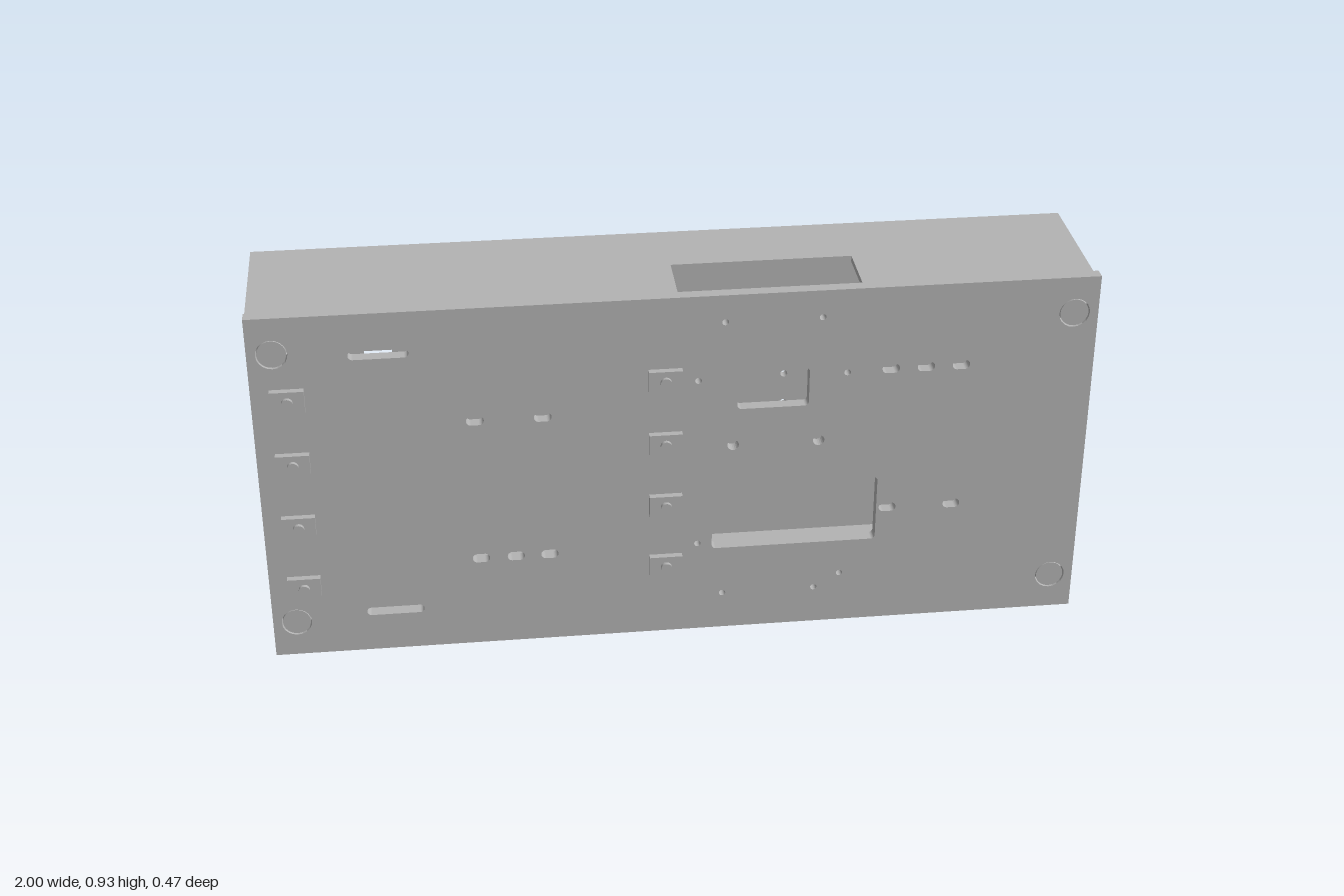
import * as THREE from 'three';

const grey = new THREE.MeshStandardMaterial({ color: 0xb3b3b3 });
grey.name = 'plain grey';

// Stadium or rounded-rectangle outline centred on (x, y)
function roundedPath(x, y, w, h, r) {
  const p = new THREE.Path();
  const a = w / 2 - r, b = h / 2 - r, q = Math.PI / 2;
  p.absarc(x + a, y + b, r, 0, q);
  p.absarc(x - a, y + b, r, q, 2 * q);
  p.absarc(x - a, y - b, r, 2 * q, 3 * q);
  p.absarc(x + a, y - b, r, 3 * q, 4 * q);
  return p;
}

const hole = (x, y, r) => new THREE.Path().absarc(x, y, r, 0, Math.PI * 2);

function polygon(points) {
  return new THREE.Shape(points.map(([x, y]) => new THREE.Vector2(x, y)));
}

function extrude(shape, depth) {
  return new THREE.ExtrudeGeometry(shape, { depth, bevelEnabled: false, curveSegments: 10 });
}

function add(parent, name, geometry, x = 0, y = 0, z = 0) {
  const mesh = new THREE.Mesh(geometry, grey);
  mesh.name = name;
  mesh.position.set(x, y, z);
  parent.add(mesh);
  return mesh;
}

// Cylinder lying along z, from z0 to z1
function rod(parent, name, x, y, z0, z1, r) {
  const g = new THREE.CylinderGeometry(r, r, z1 - z0, 32).rotateX(Math.PI / 2);
  return add(parent, name, g, x, y, (z0 + z1) / 2);
}

// Cross-section of a square rail with a T-slot on each side
function railSection() {
  const side = [[0.0575, -0.0575], [0.0575, -0.018], [0.0475, -0.018], [0.0475, -0.034],
    [0.026, -0.015], [0.026, 0.015], [0.0475, 0.034], [0.0475, 0.018], [0.0575, 0.018]];
  const points = [];
  for (let k = 0; k < 4; k++) {
    const c = Math.round(Math.cos(k * Math.PI / 2)), s = Math.round(Math.sin(k * Math.PI / 2));
    for (const [u, v] of side) points.push([u * c - v * s, u * s + v * c]);
  }
  return polygon(points);
}

export function createModel() {
  const model = new THREE.Group();
  model.name = 'equipmentCase';
  const cornerX = 0.9425, cornerY = [0.0945, 0.8365];
  const terminalX = [-0.915, -0.035], terminalY = [0.208, 0.381, 0.553, 0.724];

  // Front panel with windows, slots and screw holes
  const front = polygon([[-1, 0], [1, 0], [1, 0.93], [-1, 0.93]]);
  front.holes.push(
    roundedPath(0.225, 0.676, 0.172, 0.102, 0.01),
    roundedPath(0.284, 0.324, 0.407, 0.178, 0.01),
    roundedPath(-0.7, 0.823, 0.14, 0.022, 0.0109),
    roundedPath(-0.7, 0.112, 0.14, 0.022, 0.0109));
  for (const [x, y] of [[-0.485, 0.633], [-0.325, 0.633], [-0.485, 0.248], [-0.4, 0.248],
    [-0.318, 0.248], [0.507, 0.713], [0.592, 0.713], [0.677, 0.713], [0.515, 0.325], [0.675, 0.325]]) {
    front.holes.push(roundedPath(x, y, 0.042, 0.024, 0.0119));
  }
  for (const [x, y, r] of [[0.13, 0.527, 0.014], [0.338, 0.527, 0.014], [0.108, 0.86, 0.008],
    [0.338, 0.86, 0.008], [0.045, 0.708, 0.008], [0.402, 0.709, 0.008], [0.045, 0.252, 0.008],
    [0.108, 0.102, 0.008], [0.338, 0.102, 0.008], [0.402, 0.14, 0.008]]) {
    front.holes.push(hole(x, y, r));
  }
  for (const x of [-cornerX, cornerX]) {
    for (const y of cornerY) front.holes.push(hole(x, y, 0.037));
  }
  add(model, 'frontPanel', extrude(front, 0.03), 0, 0, 0.17);

  // Back panel with tall cable slot and mounting holes
  const back = polygon([[-1, 0.02], [1, 0.02], [1, 0.91], [-1, 0.91]]);
  back.holes.push(roundedPath(-0.71, 0.507, 0.07, 0.64, 0.0349));
  for (const [x, ys] of [[0.312, [0.508, 0.424]], [0.14, [0.509, 0.424]], [0.07, [0.478, 0.45]],
    [-0.02, [0.478, 0.45]], [-0.188, [0.845, 0.529, 0.473, 0.155]],
    [-0.63, [0.783, 0.53, 0.473, 0.153]], [-0.8, [0.76, 0.682]], [-0.915, [0.764, 0.684]],
    [-0.78, [0.175]], [-0.863, [0.082]]]) {
    for (const y of ys) back.holes.push(hole(x, y, 0.009));
  }
  add(model, 'backPanel', extrude(back, 0.025), 0, 0, -0.2);

  // Top and bottom panels, each notched behind the front panel
  const cover = polygon([[-1, -0.175], [1, -0.175], [1, 0.17], [0.442, 0.17], [0.442, -0.015],
    [0.003, -0.015], [0.003, 0.17], [-1, 0.17]]);
  const coverGeometry = extrude(cover, 0.015).rotateX(Math.PI / 2);
  add(model, 'topPanel', coverGeometry, 0, 0.91, 0);
  add(model, 'bottomPanel', coverGeometry, 0, 0.035, 0);

  // Corner rails with flush front bolts and rear feet
  const railGeometry = extrude(railSection(), 0.345);
  for (const x of [-cornerX, cornerX]) {
    [0.0925, 0.8375].forEach((y, i) => {
      add(model, 'cornerRail', railGeometry, x, y, -0.175);
      rod(model, 'frontBolt', x, cornerY[i], 0.17, 0.198, 0.034);
      rod(model, 'rearFoot', x, cornerY[i], -0.236, -0.2, 0.0275);
    });
  }

  // Two columns of screw terminals
  for (const x of terminalX) {
    for (const y of terminalY) {
      const terminal = new THREE.Group();
      terminal.name = 'terminal';
      rod(terminal, 'terminalScrew', x, y, 0.2, 0.238, 0.0135);
      add(terminal, 'terminalClamp', new THREE.BoxGeometry(0.08, 0.056, 0.016), x, y, 0.221);
      rod(terminal, 'terminalNut', x, y, 0.167, 0.172, 0.031);
      model.add(terminal);
    }
  }
  return model;
}
